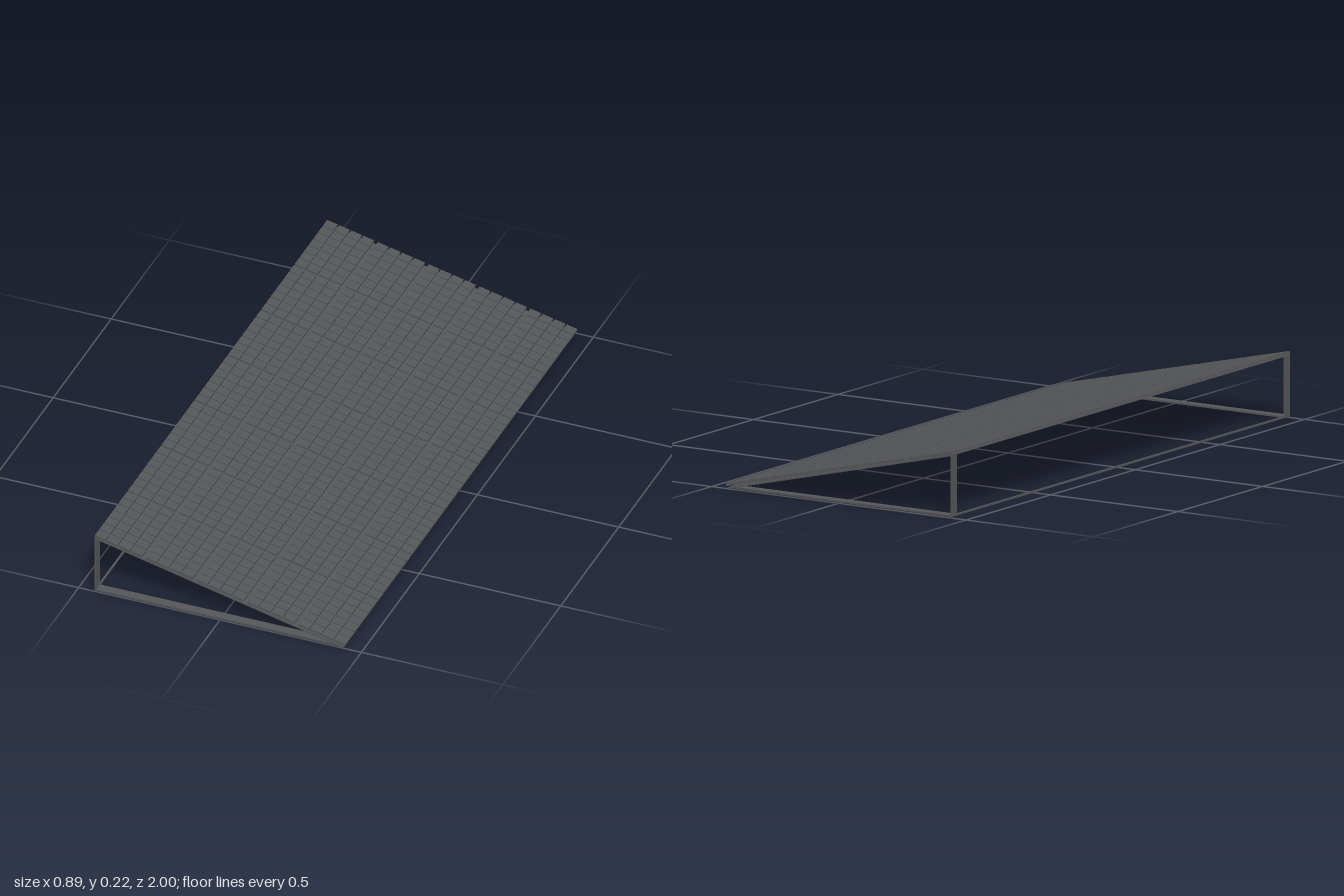
import * as THREE from 'three';
import { mergeGeometries } from 'three/addons/utils/BufferGeometryUtils.js';

export function createModel() {
  const model = new THREE.Group();
  model.name = 'solarArray';
  const material = new THREE.MeshStandardMaterial({ color: 0x555658 });

  const addBox = (name, size, pos, tilt = 0) => {
    const mesh = new THREE.Mesh(new THREE.BoxGeometry(...size), material);
    mesh.name = name;
    mesh.position.set(...pos);
    mesh.rotation.z = tilt;
    model.add(mesh);
  };

  // Tilted field: 5 x 7 panels, each split into 4 x 7 cells
  const tilt = -0.227, length = 0.909, depth = 2, thick = 0.01;
  const cols = 5, rows = 7, cellCols = 4, cellRows = 7;
  const gapX = 0.014, gapZ = 0.009, cellGap = 0.005;
  const panelX = (length - gapX * (cols - 1)) / cols;
  const panelZ = (depth - gapZ * (rows - 1)) / rows;
  const cellX = (panelX - cellGap * (cellCols - 1)) / cellCols;
  const cellZ = (panelZ - cellGap * (cellRows - 1)) / cellRows;

  // One panel as a merged grid of cells, shared by all panels
  const cells = [];
  for (let i = 0; i < cellCols; i++) {
    for (let j = 0; j < cellRows; j++) {
      cells.push(new THREE.BoxGeometry(cellX, thick, cellZ).translate(
        (i - (cellCols - 1) / 2) * (cellX + cellGap), 0,
        (j - (cellRows - 1) / 2) * (cellZ + cellGap)));
    }
  }
  const panelGeometry = mergeGeometries(cells);

  const field = new THREE.Group();
  field.name = 'panelField';
  field.position.y = 0.115;
  field.rotation.z = tilt;
  for (let i = 0; i < cols; i++) {
    for (let j = 0; j < rows; j++) {
      const panel = new THREE.Mesh(panelGeometry, material);
      panel.name = 'panel';
      panel.position.set((i - (cols - 1) / 2) * (panelX + gapX), 0,
        (j - (rows - 1) / 2) * (panelZ + gapZ));
      field.add(panel);
    }
  }
  model.add(field);

  // Backing sheet just below the panels
  const slope = -Math.atan2(0.207, 0.88);
  addBox('backingSheet', [0.902, 0.004, 1.93], [-0.003, 0.106, 0], slope);

  // Triangular end frames
  for (const side of [-1, 1]) {
    const z = side * 0.984;
    addBox('slopedRail', [0.902, 0.005, 0.032], [-0.003, 0.1055, z], slope);
    addBox('baseRail', [0.865, 0.006, 0.032], [-0.01, 0.006, z]);
    addBox('rearPost', [0.005, 0.208, 0.032], [-0.4405, 0.107, z]);
  }

  // Long tie bar joining the two frames along the ground
  addBox('groundTie', [0.006, 0.006, 2], [-0.44, 0.006, 0]);

  // Stand on the ground, centred
  const box = new THREE.Box3().setFromObject(model, true);
  const centre = box.getCenter(new THREE.Vector3());
  for (const part of model.children) {
    part.position.x -= centre.x;
    part.position.y -= box.min.y;
    part.position.z -= centre.z;
  }
  return model;
}
